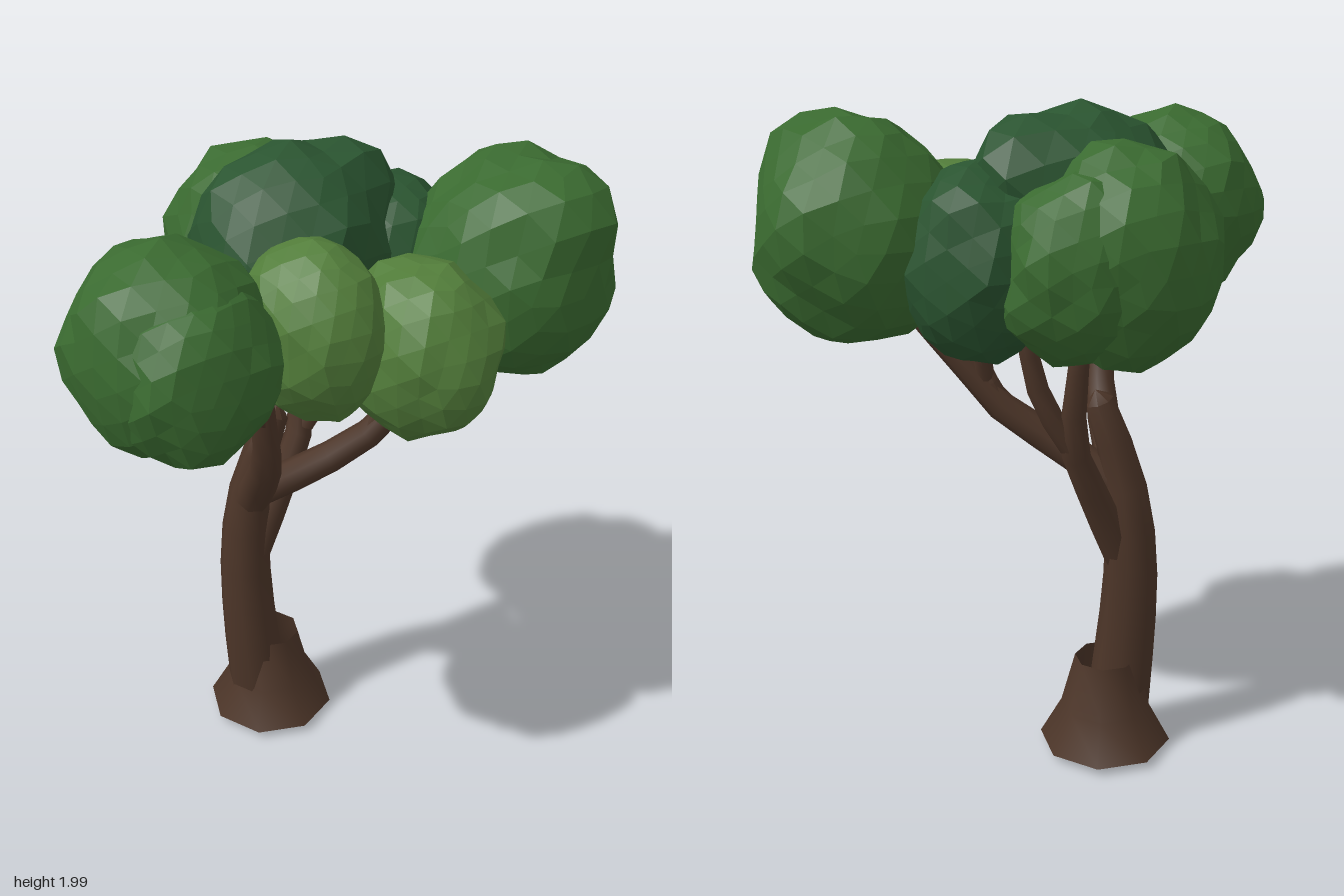
import * as THREE from 'three';
import { mergeVertices, toCreasedNormals } from 'three/addons/utils/BufferGeometryUtils.js';

const V = (a) => new THREE.Vector3(...a);
const barkMaterial = new THREE.MeshStandardMaterial({ color: 0x4c3528, side: THREE.DoubleSide });
const leafMaterial = (color) => new THREE.MeshStandardMaterial({ color, flatShading: true });
const green = leafMaterial(0x3a6a30);
const dark = leafMaterial(0x2a5430);
const light = leafMaterial(0x527d3a);

// Tapered limb: rings swept along a curve, with a pointed tip
function limb(name, points, radii, sides = 8, segments = 6) {
  const curve = new THREE.CatmullRomCurve3(points.map(V));
  const frames = curve.computeFrenetFrames(segments);
  const positions = [], index = [];
  for (let i = 0; i <= segments + 1; i++) {
    const k = Math.min(i, segments), t = k / segments;
    const s = t * (radii.length - 1), j = Math.min(Math.floor(s), radii.length - 2);
    const r = i > segments ? 0 : THREE.MathUtils.lerp(radii[j], radii[j + 1], s - j);
    const center = curve.getPointAt(t);
    if (i > segments) center.addScaledVector(frames.tangents[k], radii.at(-1) * 0.8);
    for (let n = 0; n < sides; n++) {
      const a = (n / sides) * Math.PI * 2;
      const p = center.clone()
        .addScaledVector(frames.normals[k], Math.cos(a) * r)
        .addScaledVector(frames.binormals[k], Math.sin(a) * r);
      positions.push(p.x, p.y, p.z);
      if (i > segments) continue;
      const b = i * sides + n, c = i * sides + (n + 1) % sides;
      index.push(b, c, b + sides, c, c + sides, b + sides);
    }
  }
  const geometry = new THREE.BufferGeometry();
  geometry.setAttribute('position', new THREE.Float32BufferAttribute(positions, 3));
  geometry.setIndex(index);
  const mesh = new THREE.Mesh(toCreasedNormals(geometry, 0.9), barkMaterial);
  mesh.name = name;
  return mesh;
}

// Lumpy faceted leaf mass fitted into a box from min to max; bulges are directions pulled outward
function leafClump(name, min, max, material, seed, bulges = []) {
  let geometry = new THREE.IcosahedronGeometry(1, 3);
  geometry.deleteAttribute('normal');
  geometry.deleteAttribute('uv');
  geometry = mergeVertices(geometry, 1e-4);
  const pos = geometry.attributes.position, p = new THREE.Vector3();
  const peaks = bulges.map((b) => V(b).normalize());
  for (let i = 0; i < pos.count; i++) {
    p.fromBufferAttribute(pos, i).normalize();
    const broad = Math.sin(p.x * 4.1 + seed) * Math.sin(p.y * 4.7 + seed * 2.3) * Math.sin(p.z * 4.3 + seed * 1.7);
    const hash = Math.sin(i * 12.9898 + seed * 78.233) * 43758.5453;
    const fine = hash - Math.floor(hash) - 0.5;
    let r = 1 + 0.07 * broad + 0.06 * fine;
    for (const peak of peaks) r += 0.22 * Math.max(0, (p.dot(peak) - 0.8) / 0.2);
    p.multiplyScalar(r);
    pos.setXYZ(i, p.x, p.y, p.z);
  }
  geometry.computeBoundingBox();
  const box = geometry.boundingBox, size = box.getSize(new THREE.Vector3());
  const scale = V(max).sub(V(min)).divide(size);
  geometry.translate(-box.min.x, -box.min.y, -box.min.z);
  geometry.scale(scale.x, scale.y, scale.z);
  geometry.translate(...min);
  geometry.computeVertexNormals();
  const mesh = new THREE.Mesh(geometry, material);
  mesh.name = name;
  return mesh;
}

export function createModel() {
  const tree = new THREE.Group();
  tree.name = 'tree';

  // Open flared collar around the foot of the trunk
  const profile = [[0.203, 0.03], [0.137, 0.15], [0.095, 0.31]].map(([r, y]) => new THREE.Vector2(r, y));
  const flare = new THREE.Mesh(toCreasedNormals(new THREE.LatheGeometry(profile, 8), 0.9), barkMaterial);
  flare.name = 'rootFlare';
  flare.position.set(-0.19, 0, 0.05);
  tree.add(flare);

  // Trunk and forking branches
  tree.add(
    limb('trunk',
      [[-0.19, 0.017, 0.085], [-0.2, 0.3, 0.112], [-0.22, 0.6, 0.118], [-0.21, 0.87, 0.1], [-0.175, 1.05, 0.065], [-0.163, 1.14, 0.035]],
      [0.1, 0.094, 0.086, 0.078, 0.06, 0.044], 8, 8),
    limb('frontBranch',
      [[-0.18, 0.86, 0.105], [-0.06, 1.02, 0.14], [0.0, 1.13, 0.17], [0.03, 1.28, 0.2], [0.05, 1.45, 0.22]],
      [0.058, 0.052, 0.044, 0.037, 0.028]),
    limb('frontTwig', [[0.025, 1.25, 0.19], [0.05, 1.33, 0.28], [0.08, 1.43, 0.4]], [0.032, 0.028, 0.02], 7, 4),
    limb('backBranch',
      [[-0.19, 0.87, 0.085], [-0.06, 0.98, -0.02], [0.04, 1.09, -0.15], [0.11, 1.22, -0.24], [0.22, 1.42, -0.38]],
      [0.055, 0.05, 0.044, 0.036, 0.025]),
    limb('backTwig', [[0.05, 1.1, -0.16], [0.1, 1.24, -0.21], [0.22, 1.38, -0.18]], [0.036, 0.03, 0.022], 7, 4),
    limb('innerTwig', [[0.08, 1.18, -0.2], [0.06, 1.28, -0.22], [0.05, 1.42, -0.24]], [0.03, 0.026, 0.02], 7, 4),
    limb('sideBranch',
      [[-0.205, 0.63, 0.1], [-0.2, 0.86, -0.01], [-0.215, 1.05, -0.1], [-0.245, 1.2, -0.115], [-0.28, 1.42, -0.12]],
      [0.055, 0.05, 0.042, 0.032, 0.025]),
    limb('sideTwig', [[-0.205, 1.04, -0.1], [-0.17, 1.19, -0.18], [-0.15, 1.42, -0.23]], [0.036, 0.032, 0.025], 7, 4),
  );

  // Crown of overlapping leaf clumps
  const clumps = [
    ['frontLeaves', [-0.19, 1.34, 0.27], [0.37, 1.92, 0.8], green, 1],
    ['frontSideLeaves', [0.04, 1.35, 0.28], [0.42, 1.84, 0.74], green, 2],
    ['backLeaves', [-0.07, 1.32, -0.8], [0.54, 1.97, -0.21], green, 3, [[0.65, 0.7, -0.1]]],
    ['rightLeaves', [-0.6, 1.28, -0.28], [-0.04, 1.92, 0.25], green, 4],
    ['rightBackLeaves', [-0.53, 1.31, -0.38], [-0.06, 1.86, 0.1], green, 7],
    ['topLeaves', [-0.4, 1.31, -0.33], [0.17, 2.0, 0.31], dark, 5, [[0.1, 0.6, -0.8]]],
    ['innerLeaves', [-0.29, 1.3, -0.54], [0.2, 1.86, -0.06], dark, 6],
    ['leftLeaves', [0.08, 1.27, -0.3], [0.6, 1.78, 0.12], light, 8],
    ['leftFrontLeaves', [0.01, 1.37, -0.02], [0.45, 1.87, 0.36], light, 9],
  ];
  for (const clump of clumps) tree.add(leafClump(...clump));
  return tree;
}
